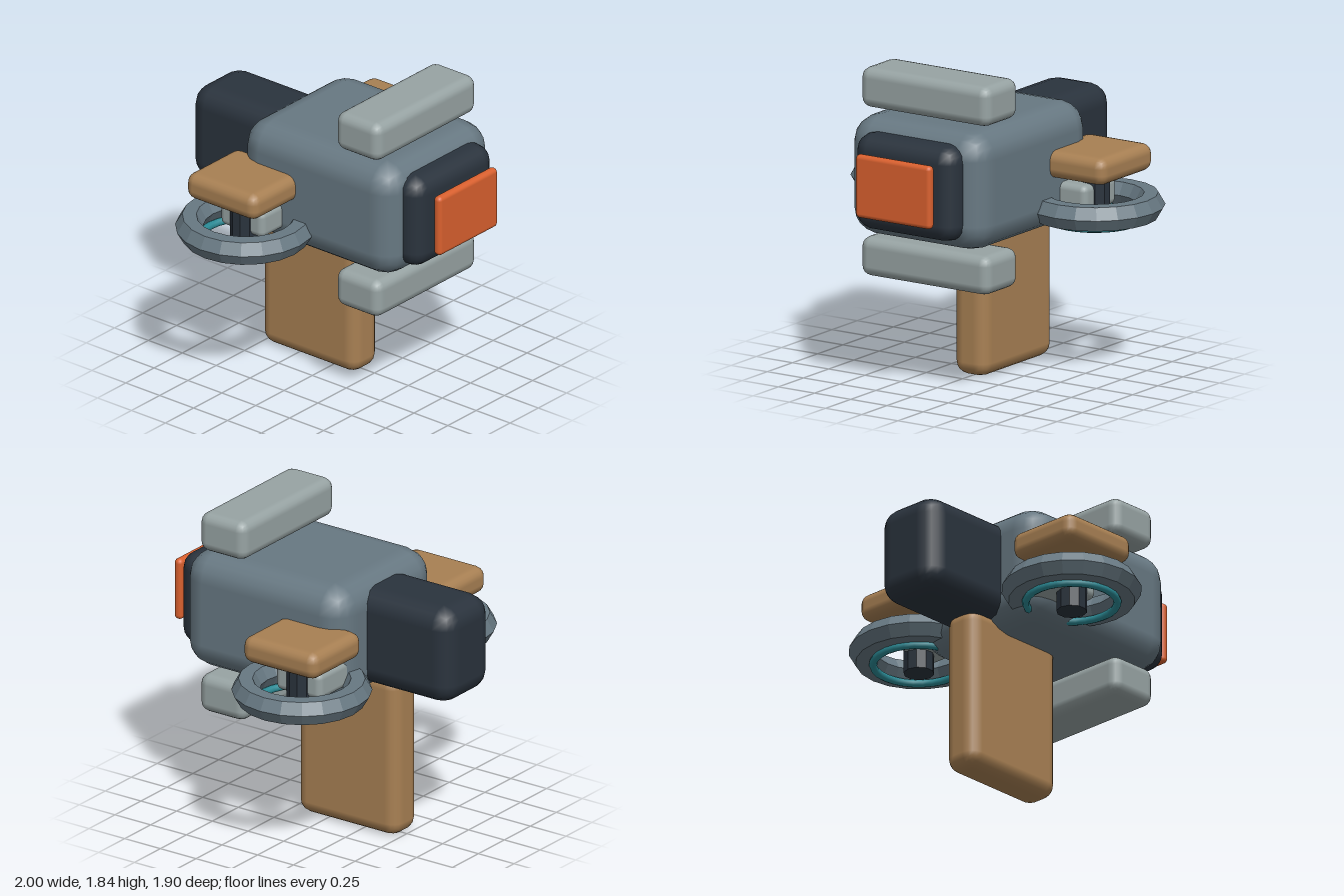
import * as THREE from 'three';
import { RoundedBoxGeometry } from 'three/addons/geometries/RoundedBoxGeometry.js';

const material = (name, color, flatShading = false) => {
  const m = new THREE.MeshStandardMaterial({ color, flatShading });
  m.name = name;
  return m;
};

export function createModel() {
  const slate = material('slate', 0x677882);
  const slateFacet = material('slate faceted', 0x677882, true);
  const dark = material('dark', 0x2a333d);
  const darkFacet = material('dark faceted', 0x2a333d, true);
  const tan = material('tan', 0xa88053);
  const light = material('light grey', 0x97a3a3);
  const orange = material('orange', 0xd9602e);
  const teal = material('teal', 0x2b8b96);

  const model = new THREE.Group();
  model.name = 'model';

  const add = (parent, name, geometry, mat) => {
    const mesh = new THREE.Mesh(geometry, mat);
    mesh.name = name;
    parent.add(mesh);
    return mesh;
  };

  // Rounded block given by its min and max on each axis
  const block = (parent, name, [x0, x1], [y0, y1], [z0, z1], radius, mat) =>
    add(parent, name, new RoundedBoxGeometry(x1 - x0, y1 - y0, z1 - z0, 2, radius), mat)
      .position.set((x0 + x1) / 2, (y0 + y1) / 2, (z0 + z1) / 2);

  // Hull, nose, screen and tail
  block(model, 'body', [-0.47, 0.47], [0.88, 1.58], [-0.38, 0.76], 0.16, slate);
  block(model, 'nose', [-0.35, 0.35], [0.95, 1.51], [0.5, 0.86], 0.1, dark);
  block(model, 'frontPanel', [-0.26, 0.26], [1.05, 1.42], [0.895, 0.95], 0.026, orange);
  block(model, 'tail', [-0.22, 0.22], [0.94, 1.52], [-0.95, -0.2], 0.12, dark);

  // Bars above and below the hull
  block(model, 'upperBar', [-0.445, 0.445], [1.605, 1.84], [0.32, 0.645], 0.06, light);
  block(model, 'lowerBar', [-0.445, 0.445], [0.62, 0.85], [0.32, 0.645], 0.06, light);

  // Keel under the hull
  block(model, 'keel', [-0.115, 0.115], [0, 0.98], [-0.505, 0.2], 0.08, tan);

  // Side pods: wing, arm, hub and rings
  for (const side of [1, -1]) {
    const pod = new THREE.Group();
    pod.name = side > 0 ? 'leftPod' : 'rightPod';
    model.add(pod);
    const span = (a, b) => (side > 0 ? [a, b] : [-b, -a]);

    block(pod, 'wing', span(0.365, 0.835), [1.195, 1.355], [-0.46, 0.06], 0.06, tan);
    block(pod, 'arm', span(0.3, 0.645), [0.99, 1.155], [-0.36, -0.04], 0.04, light);

    const hub = add(pod, 'hub', new THREE.CylinderGeometry(0.088, 0.088, 0.28, 10), darkFacet);
    hub.position.set(side * 0.6, 1.017, -0.2);

    const ring = add(pod, 'ring', new THREE.TorusGeometry(0.32, 0.08, 6, 20), slateFacet);
    ring.rotation.x = Math.PI / 2;
    ring.position.set(side * 0.6, 1.015, -0.2);

    const glow = add(pod, 'glowRing', new THREE.TorusGeometry(0.26, 0.023, 8, 28), teal);
    glow.rotation.x = Math.PI / 2;
    glow.position.set(side * 0.6, 0.935, -0.2);
  }

  return model;
}
